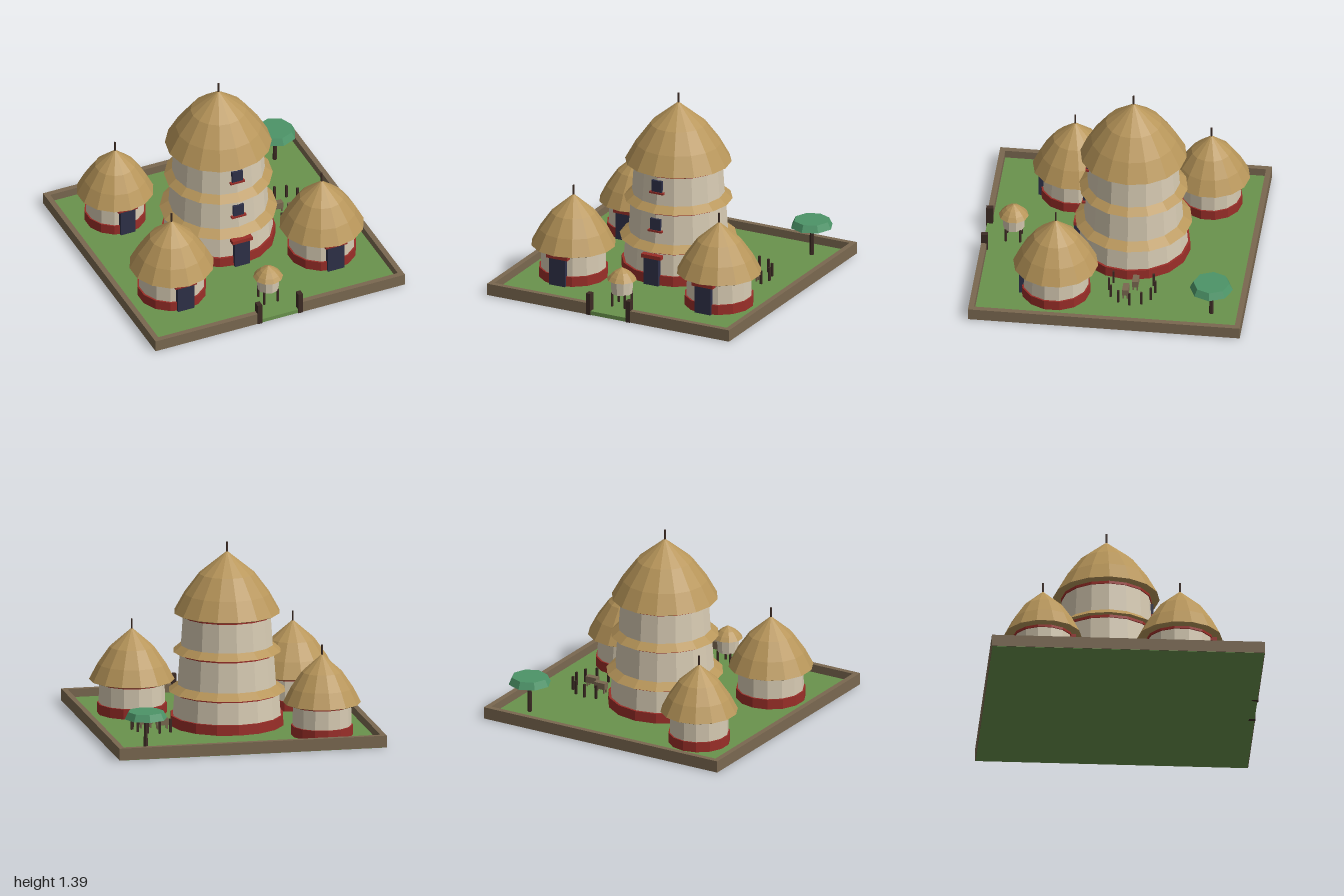
import * as THREE from 'three';

const mat = (name, color) =>
  Object.assign(new THREE.MeshStandardMaterial({ color, flatShading: true }), { name });
const grass = mat('grass', 0x6a934c);
const mud = mat('mudBrown', 0x7a6850);
const plaster = mat('plaster', 0xd6cab2);
const red = mat('redOchre', 0x9a2e28);
const thatch = mat('thatch', 0xb8965a);
const wood = mat('darkWood', 0x3c2b24);
const dark = mat('darkOpening', 0x2e3048);
const leaf = mat('leaf', 0x4c9468);

const FLOOR = 0.03;

function add(parent, name, geometry, material, x = 0, y = 0, z = 0) {
  const mesh = new THREE.Mesh(geometry, material);
  mesh.name = name;
  mesh.position.set(x, y, z);
  parent.add(mesh);
  return mesh;
}

// Box given by its centre in x and z and its bottom and top heights
function box(parent, name, material, w, d, y0, y1, x = 0, z = 0) {
  return add(parent, name, new THREE.BoxGeometry(w, y1 - y0, d), material, x, (y0 + y1) / 2, z);
}

// Many-sided drum between two heights
function drum(parent, name, material, r0, r1, y0, y1, sides, x = 0, z = 0) {
  return add(parent, name, new THREE.CylinderGeometry(r1, r0, y1 - y0, sides), material, x, (y0 + y1) / 2, z);
}

// Bulging thatched cone with a thin eave and a closed underside
function roof(parent, name, r, y0, y1, sides) {
  const h = y1 - y0;
  const profile = [[0, 0], [0.96, 0], [1, 0.015], [0.8, 0.32], [0.52, 0.64], [0, 1]]
    .map(([a, b]) => new THREE.Vector2(a * r, b * h));
  return add(parent, name, new THREE.LatheGeometry(profile, sides), thatch, 0, y0, 0);
}

function group(parent, name, x, z) {
  const g = new THREE.Group();
  g.name = name;
  g.position.set(x, 0, z);
  parent.add(g);
  return g;
}

function door(parent, r, halfWidth, top) {
  box(parent, 'door', dark, halfWidth * 2, 0.04, FLOOR, top, 0, r - 0.01);
  box(parent, 'lintel', red, halfWidth * 2 + 0.04, 0.045, top, top + 0.028, 0, r - 0.01);
}

// Round hut: plastered wall, red bands, door, roof and finial
function hut(parent, name, x, z, r, roofR, eave, apex) {
  const g = group(parent, name, x, z);
  drum(g, 'wall', plaster, r, r * 0.975, FLOOR, eave + 0.02, 14);
  drum(g, 'baseBand', red, r * 1.045, r * 1.045, FLOOR, 0.105, 14);
  drum(g, 'topBand', red, r * 1.015, r * 1.015, eave - 0.018, eave + 0.004, 14);
  door(g, r * 1.03, r * 0.27, eave - 0.035);
  roof(g, 'roof', roofR, eave, apex, 14);
  drum(g, 'finial', wood, 0.007, 0.007, apex - 0.03, apex + 0.067, 6);
}

function tower(parent) {
  const g = group(parent, 'tower', 0, -0.1);
  const n = 16;
  // bottom radius, top radius, bottom height, top height
  const storeys = [
    [0.405, 0.385, FLOOR, 0.29],
    [0.367, 0.347, 0.29, 0.58],
    [0.343, 0.323, 0.58, 0.87],
  ];
  storeys.forEach(([r0, r1, y0, y1], i) => {
    drum(g, 'storeyWall', plaster, r0, r1, y0, y1, n);
    const top = i === 2 ? 0.862 : y1;
    drum(g, 'topBand', red, r1 + 0.009, r1 + 0.008, top - 0.022, top, n);
  });
  drum(g, 'baseBand', red, 0.418, 0.416, FLOOR, 0.105, n);
  // Thatched skirts between the storeys
  drum(g, 'lowerSkirt', thatch, 0.43, 0.362, 0.285, 0.335, n);
  drum(g, 'upperSkirt', thatch, 0.397, 0.338, 0.578, 0.628, n);
  door(g, 0.42, 0.06, 0.235);
  // Front windows with red sills
  for (const [y, r] of [[0.437, 0.358], [0.727, 0.334]]) {
    box(g, 'window', dark, 0.084, 0.03, y, y + 0.088, 0, r - 0.008);
    box(g, 'windowSill', red, 0.115, 0.04, y - 0.014, y, 0, r - 0.006);
  }
  roof(g, 'roof', 0.39, 0.86, 1.32, n);
  drum(g, 'finial', wood, 0.007, 0.007, 1.29, 1.388, 6);
}

// Small raised store on four stilts
function granary(parent) {
  const g = group(parent, 'granary', 0, 0.78);
  for (const x of [-0.053, 0.053])
    for (const z of [-0.053, 0.053]) drum(g, 'stilt', wood, 0.009, 0.009, FLOOR, 0.135, 6, x, z);
  drum(g, 'body', plaster, 0.078, 0.084, 0.13, 0.24, 10);
  roof(g, 'roof', 0.11, 0.233, 0.328, 10);
}

// Open ring of posts with two animals inside
function pen(parent) {
  const g = group(parent, 'pen', 0.55, -0.155);
  for (let i = -4; i <= 4; i++) {
    const a = (i * Math.PI) / 6;
    box(g, 'penPost', wood, 0.016, 0.016, FLOOR, 0.132, 0.17 * Math.cos(a), 0.17 * Math.sin(a));
  }
  for (const [x, z] of [[-0.05, -0.02], [0.06, 0.04]]) {
    box(g, 'animalBody', mud, 0.09, 0.046, 0.06, 0.108, x, z);
    for (const dx of [-0.035, 0.035])
      for (const dz of [-0.015, 0.015]) box(g, 'animalLeg', mud, 0.01, 0.01, FLOOR, 0.062, x + dx, z + dz);
  }
}

function tree(parent) {
  const g = group(parent, 'tree', 0.75, -0.76);
  drum(g, 'trunk', wood, 0.016, 0.014, FLOOR, 0.26, 6);
  drum(g, 'canopy', leaf, 0.158, 0.132, 0.253, 0.305, 8);
}

export function createModel() {
  const model = new THREE.Group();
  model.name = 'compound';

  box(model, 'ground', grass, 1.985, 1.985, 0, FLOOR);

  // Perimeter wall with a front gateway
  const wall = (w, d, x, z) => box(model, 'perimeterWall', mud, w, d, 0.002, 0.09, x, z);
  wall(1.994, 0.04, 0, -0.977);
  for (const s of [-1, 1]) {
    wall(0.04, 1.914, s * 0.977, 0);
    wall(0.832, 0.04, s * 0.581, 0.977);
    box(model, 'gatePost', wood, 0.036, 0.05, 0, 0.165, s * 0.163, 0.975);
  }

  tower(model);
  hut(model, 'frontRightHut', -0.6, 0.4, 0.244, 0.312, 0.272, 0.662);
  hut(model, 'frontLeftHut', 0.6, 0.4, 0.244, 0.312, 0.272, 0.662);
  hut(model, 'backHut', -0.6, -0.6, 0.217, 0.284, 0.268, 0.632);
  granary(model);
  pen(model);
  tree(model);
  return model;
}
